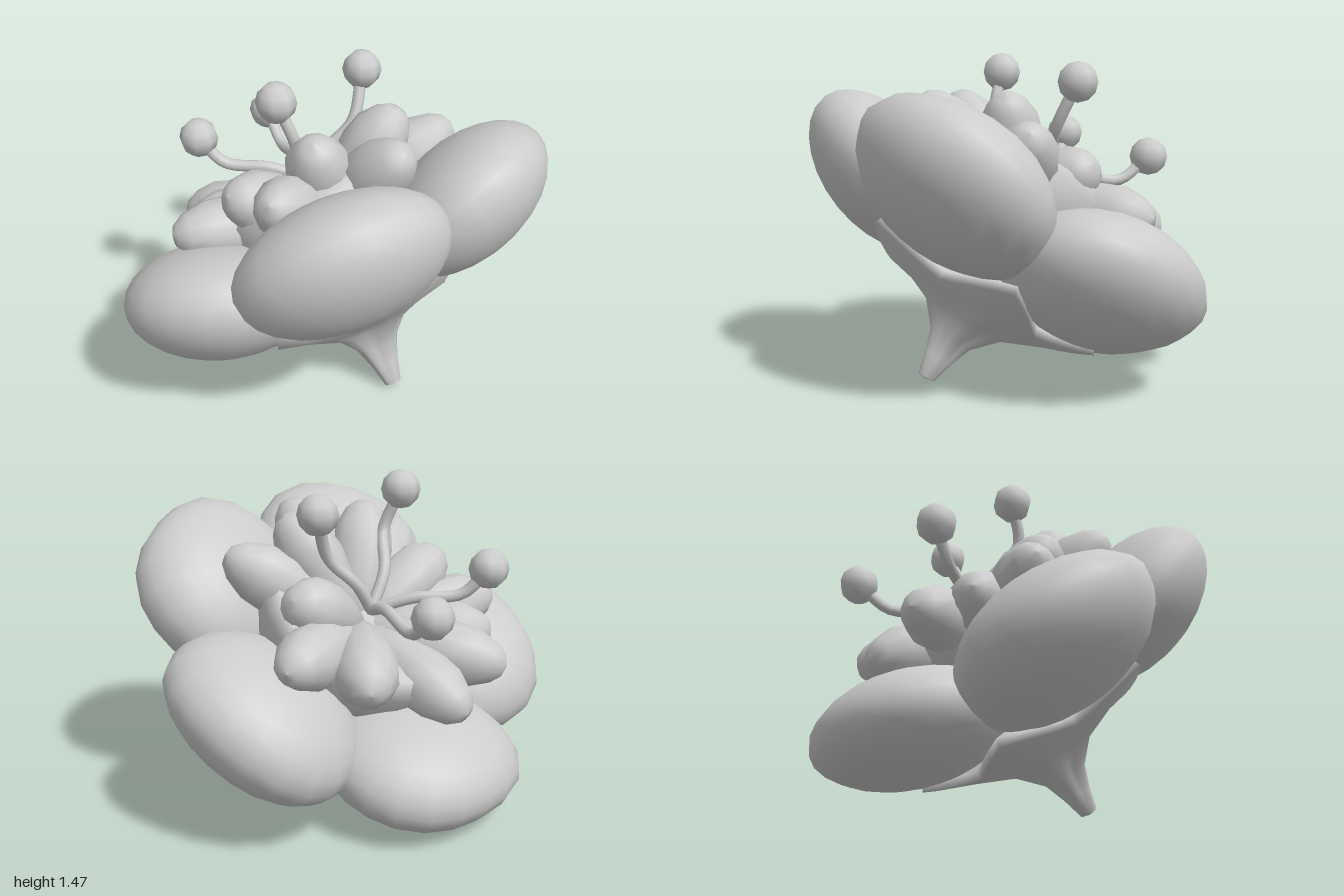
import * as THREE from 'three';

const material = new THREE.MeshStandardMaterial({ color: 0xcccccc });

function add(parent, name, geometry) {
  const mesh = new THREE.Mesh(geometry, material);
  mesh.name = name;
  parent.add(mesh);
  return mesh;
}

// Five-pointed star calyx: rings of [tip radius, valley radius, tip height, valley height]
function calyxGeometry() {
  const rings = [
    [0, 0, -0.69, -0.69], [0.04, 0.04, -0.68, -0.68], [0.07, 0.06, -0.58, -0.58],
    [0.11, 0.09, -0.48, -0.48], [0.21, 0.16, -0.38, -0.38], [0.38, 0.28, -0.31, -0.33],
    [0.61, 0.42, -0.22, -0.3], [0.59, 0.41, -0.18, -0.26], [0, 0, -0.15, -0.15],
  ];
  const n = 40, positions = [], index = [];
  rings.forEach(([tipR, valleyR, tipY, valleyY], i) => {
    for (let j = 0; j < n; j++) {
      const a = (j / n) * Math.PI * 2;
      const t = Math.pow(Math.abs(((j % 8) - 4) / 4), 1.4);
      const r = THREE.MathUtils.lerp(valleyR, tipR, t);
      positions.push(Math.sin(a) * r, THREE.MathUtils.lerp(valleyY, tipY, t), Math.cos(a) * r);
      if (i < rings.length - 1) {
        const p = i * n + j, q = i * n + ((j + 1) % n);
        index.push(p, q, q + n, p, q + n, p + n);
      }
    }
  });
  const g = new THREE.BufferGeometry();
  g.setAttribute('position', new THREE.Float32BufferAttribute(positions, 3));
  g.setIndex(index);
  g.computeVertexNormals();
  return g;
}

// Plump petal: a sphere swollen towards its four corners
function petalGeometry() {
  const g = new THREE.SphereGeometry(1, 20, 14);
  const p = g.attributes.position;
  for (let i = 0; i < p.count; i++) {
    const x = p.getX(i), z = p.getZ(i);
    const k = 1 + 0.25 * x * x * z * z;
    p.setX(i, x * k);
    p.setZ(i, z * k);
  }
  return g;
}

const lathe = (points, sides) =>
  new THREE.LatheGeometry(points.map(([r, y]) => new THREE.Vector2(r, y)), sides);

export function createModel() {
  const model = new THREE.Group();
  model.name = 'flower';

  // Blossom, leaning back
  const blossom = new THREE.Group();
  blossom.name = 'blossom';
  blossom.position.set(0, 0.61, 0.08);
  blossom.rotation.x = -0.62;
  model.add(blossom);

  add(blossom, 'calyx', calyxGeometry()).position.set(0, -0.02, -0.03);

  // Five plump outer petals, the rear one flatter: [angle in degrees, half thickness, distance]
  const petal = petalGeometry();
  const petals = [
    [35, 0.265, 0.635], [-35, 0.265, 0.635], [108, 0.265, 0.615], [-108, 0.265, 0.615], [180, 0.24, 0.62],
  ];
  for (const [degrees, thickness, distance] of petals) {
    const arm = new THREE.Group();
    arm.name = 'outerPetal';
    arm.rotation.y = (degrees * Math.PI) / 180;
    blossom.add(arm);
    const mesh = add(arm, 'outerPetalBody', petal);
    mesh.position.set(0, 0.01, distance);
    mesh.rotation.x = -0.36;
    mesh.scale.set(0.46, thickness, 0.42);
  }

  // Cupped centre
  add(blossom, 'cup', lathe(
    [[0, -0.25], [0.3, -0.12], [0.46, 0.1], [0.5, 0.28], [0.45, 0.35], [0.35, 0.34], [0.2, 0.3], [0, 0.27]], 24));

  // Inner petal lobes: [angle in degrees, tip radius, tip height]
  const lobe = lathe(
    [[0, 0], [0.08, 0.12], [0.12, 0.35], [0.145, 0.6], [0.135, 0.78], [0.09, 0.92], [0.05, 0.98], [0, 1]], 12);
  const lobes = [
    [0, 0.71, 0.32], [50, 0.69, 0.34], [-50, 0.69, 0.34], [27, 0.54, 0.49], [-27, 0.54, 0.49],
    [82, 0.46, 0.43], [109, 0.68, 0.35], [139, 0.62, 0.42], [184, 0.67, 0.35],
    [213, 0.66, 0.43], [236, 0.6, 0.38], [260, 0.71, 0.36], [285, 0.54, 0.43],
  ];
  const up = new THREE.Vector3(0, 1, 0);
  for (const [degrees, radius, height] of lobes) {
    const a = (degrees * Math.PI) / 180;
    const root = new THREE.Vector3(0, 0.18, 0);
    const span = new THREE.Vector3(Math.sin(a) * radius, height, Math.cos(a) * radius).sub(root);
    const mesh = add(blossom, 'innerPetal', lobe);
    mesh.position.copy(root);
    mesh.scale.y = span.length();
    mesh.quaternion.setFromUnitVectors(up, span.normalize());
  }

  // Stamens: curved filaments ending in round heads
  const stamens = [
    [[-0.09, 1.03, -0.11], [-0.18, 1.19, -0.01], [-0.23, 1.38, -0.07]],
    [[0.1, 1.0, -0.13], [0.22, 1.13, -0.08], [0.32, 1.34, -0.13]],
    [[-0.12, 0.93, -0.27], [-0.27, 0.95, -0.42], [-0.34, 1.07, -0.51]],
    [[0.06, 0.91, -0.27], [0.13, 0.87, -0.5], [0.17, 0.98, -0.65]],
  ];
  const head = new THREE.SphereGeometry(0.09, 8, 6);
  for (const points of stamens) {
    const path = [[0.01, 0.87, -0.13], ...points].map((p) => new THREE.Vector3(...p));
    const stamen = new THREE.Group();
    stamen.name = 'stamen';
    model.add(stamen);
    add(stamen, 'filament',
      new THREE.TubeGeometry(new THREE.CatmullRomCurve3(path), 16, 0.027, 8));
    add(stamen, 'stamenHead', head).position.copy(path[path.length - 1]);
  }
  return model;
}
